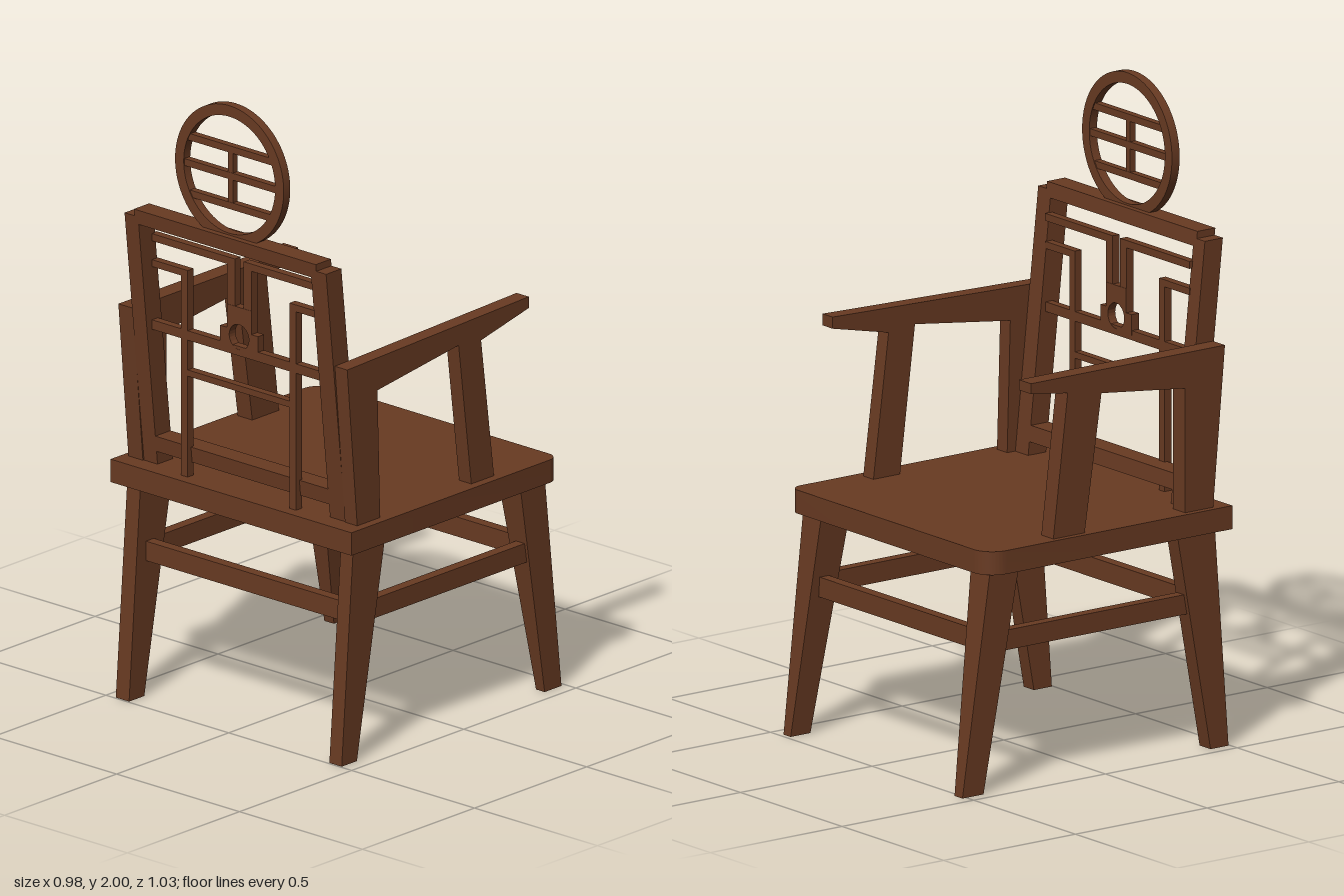
import * as THREE from 'three';
import { toCreasedNormals } from 'three/addons/utils/BufferGeometryUtils.js';

export function createModel() {
  const chair = new THREE.Group();
  chair.name = 'armchair';
  const wood = new THREE.MeshStandardMaterial({ color: 0x683a22 });
  wood.name = 'brown wood';

  function add(name, geometry) {
    const mesh = new THREE.Mesh(geometry, wood);
    mesh.name = name;
    chair.add(mesh);
    return mesh;
  }

  // Axis-aligned bar given by its extents
  function bar(name, x0, x1, y0, y1, z0, z1) {
    const g = new THREE.BoxGeometry(x1 - x0, y1 - y0, z1 - z0);
    g.translate((x0 + x1) / 2, (y0 + y1) / 2, (z0 + z1) / 2);
    return add(name, g);
  }

  // Leaning or tapering bar between a bottom and a top rectangle [x0, x1, z0, z1]
  function loft(name, y0, y1, bottom, top) {
    const g = new THREE.BoxGeometry(1, 1, 1);
    const p = g.attributes.position;
    for (let i = 0; i < p.count; i++) {
      const up = p.getY(i) > 0;
      const r = up ? top : bottom;
      p.setXYZ(i, p.getX(i) < 0 ? r[0] : r[1], up ? y1 : y0, p.getZ(i) < 0 ? r[2] : r[3]);
    }
    g.computeVertexNormals();
    return add(name, g);
  }

  // Plate in the x-y plane between two depths
  function plate(name, shape, z0, z1) {
    const g = new THREE.ExtrudeGeometry(shape, { depth: z1 - z0, bevelEnabled: false, curveSegments: 48 });
    g.translate(0, 0, z0);
    return add(name, toCreasedNormals(g, 0.5));
  }

  // Seat with rounded front corners, drawn as (x, -z)
  const seat = new THREE.Shape();
  seat.moveTo(-0.49, -0.49);
  seat.lineTo(0.49, -0.49);
  seat.lineTo(0.49, 0.395);
  seat.absarc(0.45, 0.395, 0.04, 0, Math.PI / 2, false);
  seat.lineTo(-0.42, 0.438);
  seat.absarc(-0.42, 0.368, 0.07, Math.PI / 2, Math.PI, false);
  seat.closePath();
  const seatGeo = new THREE.ExtrudeGeometry(seat, { depth: 0.073, bevelEnabled: false, curveSegments: 10 });
  seatGeo.rotateX(-Math.PI / 2);
  seatGeo.translate(0, 0.68, 0);
  add('seat', toCreasedNormals(seatGeo, 0.5));

  // Legs: the backrest stands at +z
  loft('backLegRight', 0, 0.69, [-0.464, -0.41, 0.427, 0.495], [-0.464, -0.41, 0.3, 0.443]);
  loft('backLegLeft', 0, 0.69, [0.405, 0.455, 0.427, 0.495], [0.405, 0.455, 0.3, 0.443]);
  loft('frontLegRight', 0, 0.69, [-0.464, -0.425, -0.515, -0.435], [-0.464, -0.37, -0.41, -0.3]);
  loft('frontLegLeft', 0, 0.69, [0.42, 0.455, -0.485, -0.41], [0.365, 0.455, -0.41, -0.3]);

  // Stretchers between the legs
  bar('backStretcher', -0.42, 0.415, 0.43, 0.492, 0.385, 0.42);
  bar('frontStretcher', -0.41, 0.405, 0.43, 0.492, -0.405, -0.37);
  bar('sideStretcherRight', -0.45, -0.415, 0.43, 0.492, -0.36, 0.36);
  bar('sideStretcherLeft', 0.41, 0.445, 0.43, 0.492, -0.36, 0.36);

  // Arm frames cut from a side profile of (z, y) points
  function arm(name, x0, x1, points) {
    const shape = new THREE.Shape(points.map(([z, y]) => new THREE.Vector2(z, y)));
    const g = new THREE.ExtrudeGeometry(shape, { depth: x1 - x0, bevelEnabled: false });
    g.rotateY(-Math.PI / 2);
    g.translate(x1, 0, 0);
    add(name, g);
  }
  arm('armLeft', 0.411, 0.461, [
    [0.432, 0.75], [0.477, 1.262], [-0.333, 1.283], [-0.333, 1.247], [-0.12, 1.2],
    [-0.178, 0.75], [-0.077, 0.75], [-0.02, 1.21], [0.342, 1.162], [0.33, 0.75],
  ]);
  arm('armRight', -0.47, -0.411, [
    [0.432, 0.75], [0.477, 1.25], [-0.26, 1.25], [-0.26, 1.218], [-0.12, 1.198],
    [-0.175, 0.75], [-0.056, 0.75], [0.008, 1.177], [0.326, 1.14], [0.326, 0.75],
  ]);

  // Backrest frame, leaning backward with height
  const lean = (name, x0, x1, y0, y1) => {
    const f = (y) => 0.36 + (y - 0.75) * 0.107;
    return loft(name, y0, y1, [x0, x1, f(y0), f(y0) + 0.068], [x0, x1, f(y1), f(y1) + 0.068]);
  };
  lean('backPostRight', -0.41, -0.355, 0.74, 1.565);
  lean('backPostLeft', 0.347, 0.41, 0.74, 1.565);
  lean('topRail', -0.355, 0.347, 1.54, 1.565);
  lean('topRailCap', -0.37, 0.37, 1.565, 1.587);
  lean('lowerRail', -0.355, 0.347, 0.795, 0.845);

  // Upright lattice inside the frame
  const lattice = [
    [-0.36, -0.018, 1.472, 1.495],
    [0.018, 0.35, 1.472, 1.495],
    [-0.05, -0.018, 1.34, 1.472],
    [0.018, 0.05, 1.34, 1.472],
    [-0.36, 0.35, 1.19, 1.22],
    [-0.237, -0.21, 0.75, 1.412],
    [-0.36, -0.237, 1.39, 1.412],
    [0.204, 0.231, 0.75, 1.408],
    [0.231, 0.35, 1.386, 1.408],
    [-0.21, 0.204, 1.075, 1.095],
  ];
  lattice.forEach(([x0, x1, y0, y1]) => bar('latticeBar', x0, x1, y0, y1, 0.427, 0.453));

  // Centre block with a round hole
  const block = new THREE.Shape(
    [[-0.077, 1.205], [0.077, 1.205], [0.077, 1.27], [0.05, 1.27], [0.05, 1.345],
      [-0.05, 1.345], [-0.05, 1.27], [-0.077, 1.27]].map(([x, y]) => new THREE.Vector2(x, y)));
  block.holes.push(new THREE.Path().absarc(0, 1.25, 0.04, 0, Math.PI * 2, true));
  plate('latticeCentre', block, 0.426, 0.454);

  // Round crest with its inner bars
  const ring = new THREE.Shape().absarc(0, 1.779, 0.221, 0, Math.PI * 2, false);
  ring.holes.push(new THREE.Path().absarc(0, 1.779, 0.186, 0, Math.PI * 2, true));
  plate('crestRing', ring, 0.468, 0.497);
  [1.86, 1.775, 1.68].forEach((y) => {
    const half = Math.sqrt(0.2 ** 2 - (y - 1.779) ** 2);
    bar('crestBar', -half, half, y - 0.011, y + 0.011, 0.471, 0.494);
  });
  bar('crestUpright', -0.01, 0.01, 1.68, 1.86, 0.472, 0.493);

  return chair;
}
